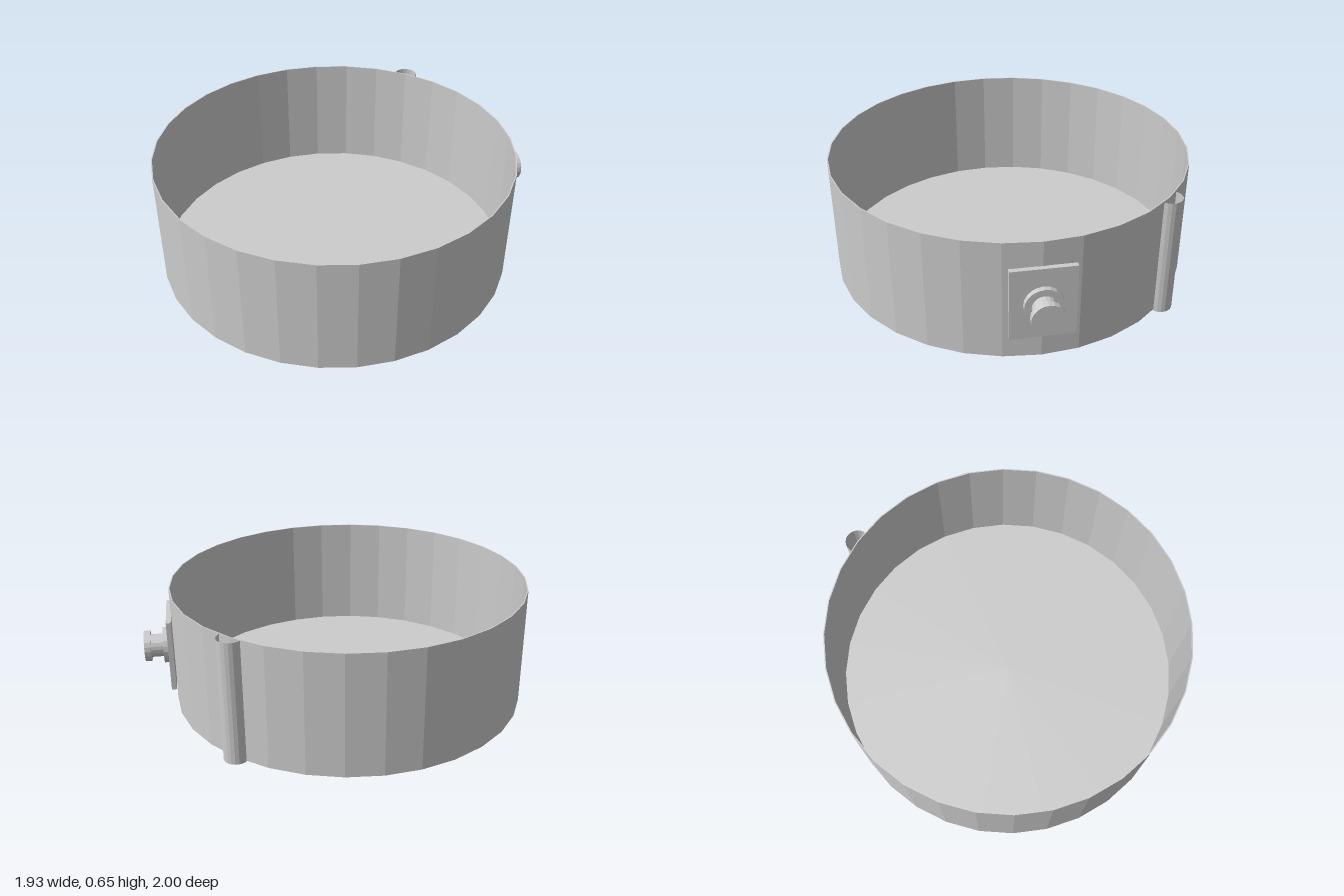
import * as THREE from 'three';

export function createModel() {
  const model = new THREE.Group();
  const mat = new THREE.MeshStandardMaterial({
    color: 0xcccccc, flatShading: true, side: THREE.DoubleSide,
  });
  const R = 0.967, H = 0.651, centreZ = 0.032, wall = 0.006;

  const add = (parent, name, geometry) => {
    const mesh = new THREE.Mesh(geometry, mat);
    mesh.name = name;
    parent.add(mesh);
    return mesh;
  };

  // Thin-walled round basin, open at the top
  const profile = [
    [0, 0], [R, 0], [R, H], [R - wall, H], [R - wall, wall], [0, wall],
  ].map(([r, y]) => new THREE.Vector2(r, y));
  add(model, 'basin', new THREE.LatheGeometry(profile, 32)).position.z = centreZ;

  // Open half-round channel running up the back wall
  const channel = add(model, 'backChannel',
    new THREE.CylinderGeometry(0.0645, 0.0645, H, 10, 1, true, Math.PI / 2, Math.PI));
  channel.position.set(0, H / 2, centreZ - R);

  // Fitting on the back left wall; its local +z points outward
  const fitting = new THREE.Group();
  fitting.name = 'sideFitting';
  fitting.position.set(0, H / 2, centreZ);
  fitting.rotation.y = Math.PI * 0.75;
  model.add(fitting);

  // Mounting plate
  add(fitting, 'mountingPlate', new THREE.BoxGeometry(0.323, 0.387, 0.026)).position.z = 0.977;

  // Flange, stem and cap stacked along the outward axis
  const disc = (name, radius, from, to) => {
    const geometry = new THREE.CylinderGeometry(radius, radius, to - from, 20);
    geometry.rotateX(Math.PI / 2);
    add(fitting, name, geometry).position.z = (from + to) / 2;
  };
  disc('knobFlange', 0.097, 0.985, 1.018);
  disc('knobStem', 0.062, 1.018, 1.085);
  disc('knobCap', 0.083, 1.085, 1.118);

  return model;
}
